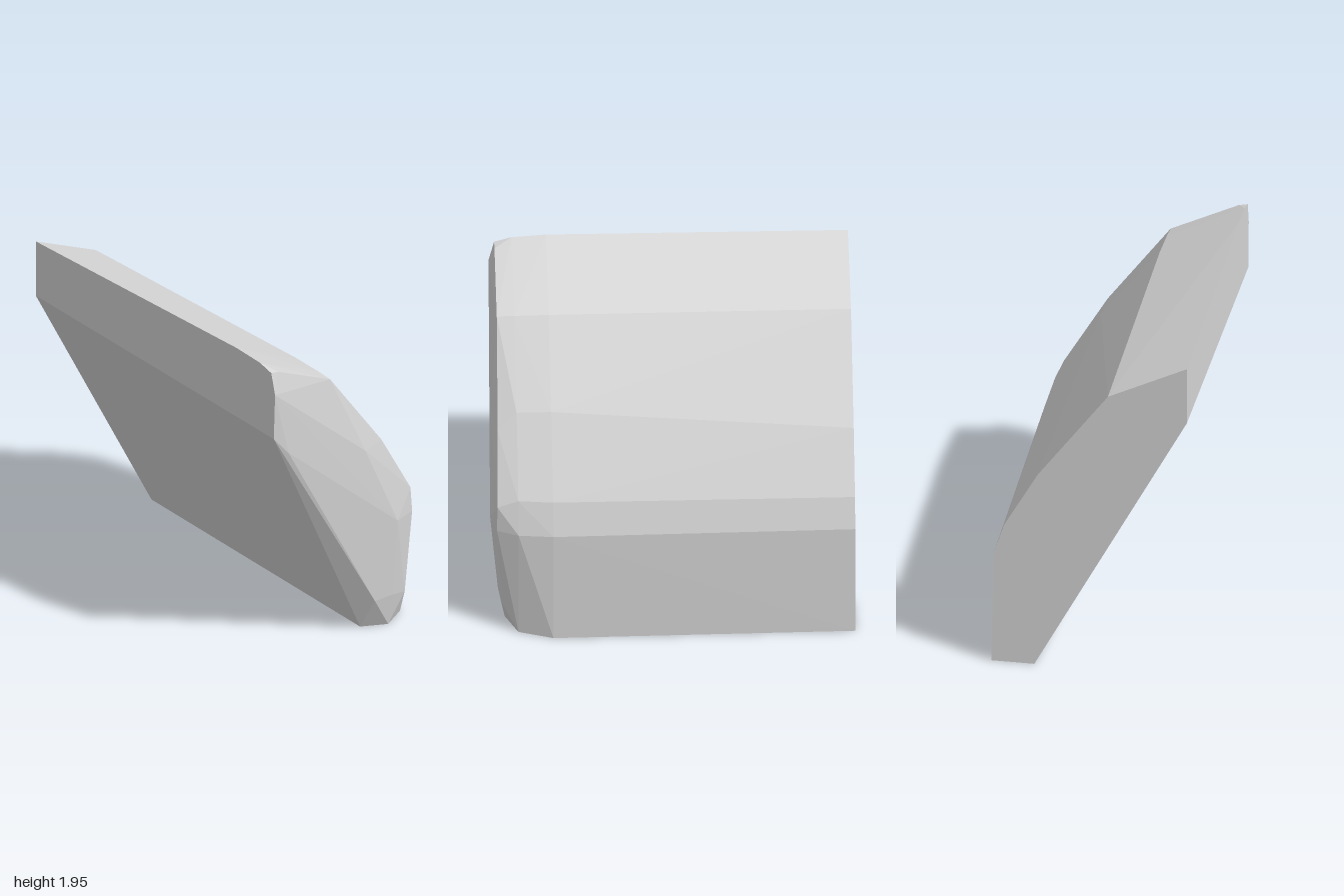
import * as THREE from 'three';
import { ConvexGeometry } from 'three/addons/geometries/ConvexGeometry.js';

export function createModel() {
  const group = new THREE.Group();
  const grey = new THREE.MeshStandardMaterial({ color: 0xd6d6d6 });
  grey.name = 'pale grey';

  const points = [];
  const addSection = (z, section) => {
    for (const [x, y] of section) points.push(new THREE.Vector3(x, y, z));
  };
  const addPoints = (list) => {
    for (const p of list) points.push(new THREE.Vector3(...p));
  };

  // Flat back end: inner foot, bowed outer face, top, inner shoulder
  addSection(-1, [
    [0.3, 0], [0.54, 0], [0.525, 0.68], [0.468, 0.857], [0.28, 1.19],
    [0.05, 1.5], [-0.11, 1.715], [-0.55, 1.93], [-0.55, 1.59],
  ]);

  // End of the straight body, slightly fuller than the back
  addSection(0.66, [
    [0.545, 0], [0.535, 0.68], [0.475, 0.87], [0.22, 1.3], [-0.11, 1.72], [-0.55, 1.945],
  ]);

  // Shoulder where the outer face begins to turn in
  addSection(0.85, [
    [0.48, 0], [0.515, 0.68], [0.46, 0.875], [0.212, 1.295], [-0.115, 1.715], [-0.55, 1.932],
  ]);

  // Rim of the front end
  addPoints([
    [0.33, 0, 0.92], [0.43, 0.18, 0.945], [0.465, 0.68, 0.967], [0.455, 0.83, 0.964],
    [0.25, 1.2, 0.955], [-0.12, 1.71, 0.946], [-0.5, 1.895, 0.944], [-0.55, 1.905, 0.944],
  ]);

  // Shallow swell of the front face
  addPoints([
    [0.33, 0.68, 1], [0.33, 0.2, 0.958], [0.1, 1.2, 0.991], [-0.55, 1.78, 0.975],
  ]);

  // Bevel between the front face and the sloping inner face
  addPoints([
    [0.195, 0, 0.84], [0.207, 0.2, 0.95], [-0.45, 1.38, 0.975], [-0.55, 1.5, 0.965],
  ]);

  const block = new THREE.Mesh(new ConvexGeometry(points), grey);
  block.name = 'bowedBlock';
  group.add(block);
  return group;
}
